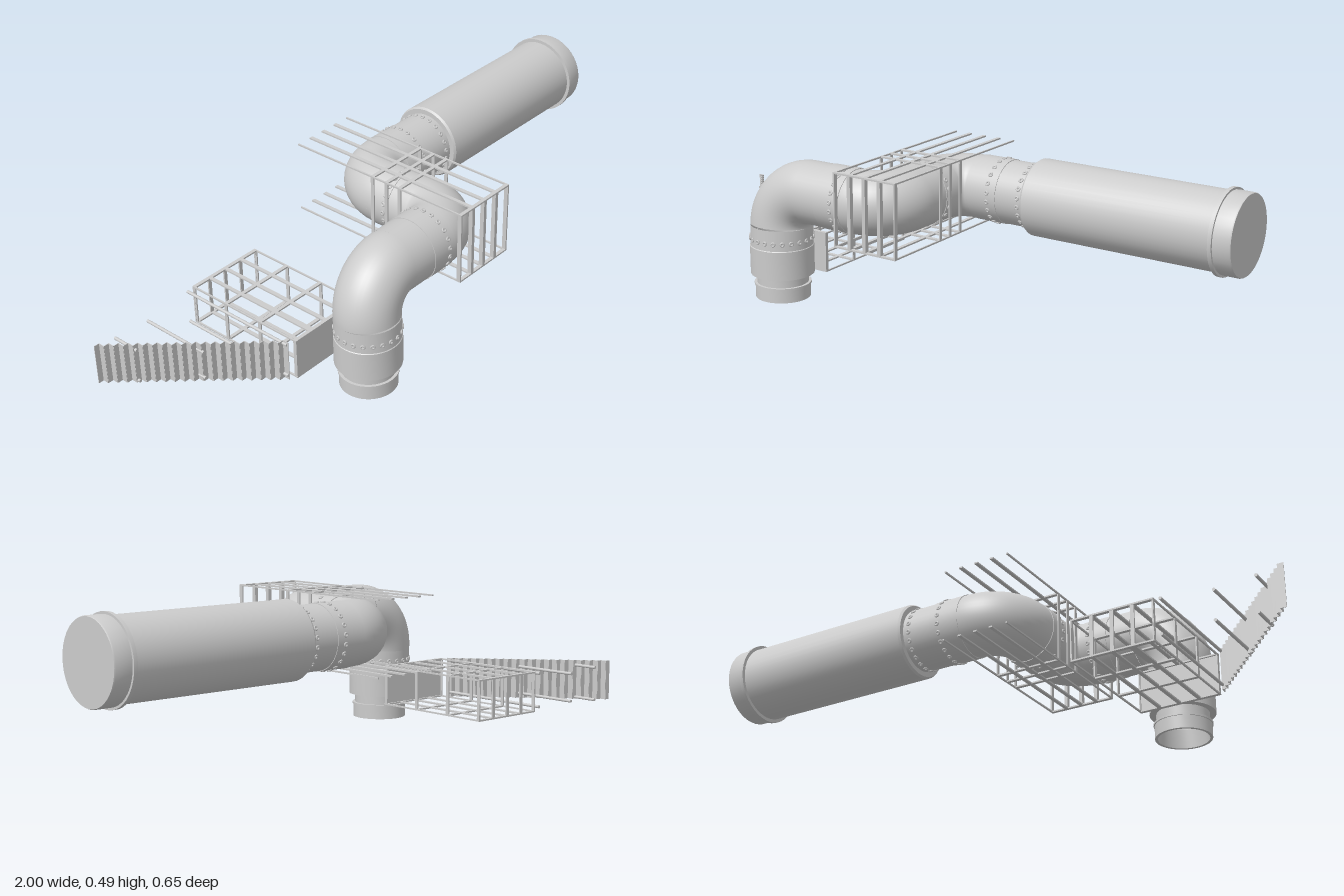
import * as THREE from 'three';
import { toCreasedNormals } from 'three/addons/utils/BufferGeometryUtils.js';

const V = (x, y, z) => new THREE.Vector3(x, y, z);
const UP = V(0, 1, 0);

export function createModel() {
  const root = new THREE.Group();
  root.name = 'pipeline';
  const mat = new THREE.MeshStandardMaterial({ color: 0xcccccc, side: THREE.DoubleSide });

  const add = (parent, name, geo) => {
    const m = new THREE.Mesh(geo, mat);
    m.name = name;
    parent.add(m);
    return m;
  };
  const group = (name) => {
    const g = new THREE.Group();
    g.name = name;
    root.add(g);
    return g;
  };
  // box given by its two opposite corners
  const box = (parent, name, x0, x1, y0, y1, z0, z1) =>
    add(parent, name, new THREE.BoxGeometry(Math.abs(x1 - x0), Math.abs(y1 - y0), Math.abs(z1 - z0)))
      .position.set((x0 + x1) / 2, (y0 + y1) / 2, (z0 + z1) / 2);
  // straight pipe between two points
  const pipe = (parent, name, a, b, r, open = false) => {
    const m = add(parent, name, new THREE.CylinderGeometry(r, r, a.distanceTo(b), 40, 1, open));
    m.position.copy(a).lerp(b, 0.5);
    m.quaternion.setFromUnitVectors(UP, b.clone().sub(a).normalize());
  };
  // quarter bend from a to b around a corner point
  const bend = (parent, name, a, corner, b, r) => {
    const k = 0.5523;
    const curve = new THREE.CubicBezierCurve3(a, a.clone().lerp(corner, k), b.clone().lerp(corner, k), b);
    add(parent, name, new THREE.TubeGeometry(curve, 24, r, 40));
  };
  // turned part from [radius, height] pairs
  const turned = (parent, name, pts) =>
    add(parent, name, toCreasedNormals(
      new THREE.LatheGeometry(pts.map(([r, h]) => new THREE.Vector2(r, h)), 40), 0.5));
  // ring of small bolts around a pipe axis
  const bolts = (center, axis, r) => {
    const g = group('boltRing');
    for (let i = 0; i < 22; i++) {
      const a = (i / 22) * Math.PI * 2;
      const nut = add(g, 'bolt', new THREE.TorusGeometry(0.0055, 0.003, 6, 10));
      nut.position.set(Math.cos(a) * r, 0, Math.sin(a) * r);
      nut.rotation.y = Math.PI / 2 - a;
    }
    g.position.copy(center);
    g.quaternion.setFromUnitVectors(UP, axis);
  };

  // Pipe run
  const run = group('pipeRun');
  const Y = 0.36, R = 0.101;
  const foot = turned(run, 'footSocket', [
    [0.075, 0.06], [0.08, 0], [0.089, 0], [0.089, 0.042], [0.092, 0.042], [0.092, 0.049],
    [0.083, 0.049], [0.083, 0.08], [0.103, 0.08], [0.103, 0.174], [0.1, 0.177],
  ]);
  foot.position.set(-0.428, 0, 0.222);
  pipe(run, 'riser', V(-0.428, 0.17, 0.222), V(-0.428, 0.24, 0.22), R, true);
  bend(run, 'lowerElbow', V(-0.428, 0.24, 0.22), V(-0.428, Y, 0.21), V(-0.31, Y, 0.208), R);
  pipe(run, 'frontPipe', V(-0.31, Y, 0.208), V(-0.13, Y, 0.208), R, true);
  pipe(run, 'frontSleeve', V(-0.225, Y, 0.208), V(-0.13, Y, 0.208), 0.103);
  bend(run, 'frontElbow', V(-0.13, Y, 0.208), V(-0.02, Y, 0.208), V(-0.02, Y, 0.098), R);
  pipe(run, 'crossPipe', V(-0.02, Y, 0.098), V(-0.02, Y, -0.05), R, true);
  pipe(run, 'crossSleeve', V(-0.02, Y, 0.03), V(-0.02, Y, -0.04), 0.103);
  bend(run, 'rearElbow', V(-0.02, Y, -0.05), V(-0.02, Y, -0.158), V(0.09, Y, -0.158), R);
  pipe(run, 'rearPipe', V(0.09, Y, -0.158), V(0.31, Y, -0.158), R, true);
  pipe(run, 'rearSleeve', V(0.097, Y, -0.158), V(0.2, Y, -0.158), 0.103);

  // Wide outlet barrel with end flange, turned along x
  const barrel = turned(run, 'outletBarrel', [
    [0.1, 0.3], [0.117, 0.3], [0.122, 0.307], [0.122, 0.932], [0.133, 0.932], [0.133, 0.944],
    [0.126, 0.944], [0.126, 0.996], [0.124, 1], [0, 1],
  ]);
  barrel.rotation.z = -Math.PI / 2;
  barrel.position.set(0, Y, -0.158);

  bolts(V(-0.428, 0.2, 0.222), UP, 0.102);
  bolts(V(-0.16, Y, 0.208), V(1, 0, 0), 0.104);
  bolts(V(-0.02, Y, 0.017), V(0, 0, 1), 0.104);
  bolts(V(0.17, Y, -0.158), V(1, 0, 0), 0.104);
  bolts(V(0.28, Y, -0.158), V(1, 0, 0), 0.102);

  // Cage folded around the bends: strips run over the top, down the front and under
  const cage = group('pipeCage');
  const [cx0, cx1, cy0, cy1] = [-0.127, 0.098, 0.242, 0.479];
  const strips = [[-0.127, 0.005], [-0.071, 0.012], [-0.015, 0.012], [0.041, 0.012], [0.098, 0.005]];
  for (const [x, w] of strips) {
    box(cage, 'topStrip', x - w / 2, x + w / 2, cy1 - 0.005, cy1, -0.325, 0.325);
    box(cage, 'bottomStrip', x - w / 2, x + w / 2, cy0, cy0 + 0.005, -0.325, 0.325);
    box(cage, 'frontStrip', x - w / 2, x + w / 2, cy0, cy1, 0.313, 0.327);
  }
  for (const y of [cy0, cy1 - 0.005]) box(cage, 'frontRail', cx0, cx1, y, y + 0.005, 0.315, 0.327);
  for (const z of [0.088, 0.037, -0.018]) {
    for (const x of [cx0, cx1]) box(cage, 'hoopSide', x - 0.002, x + 0.002, cy0, cy1, z - 0.006, z + 0.006);
    for (const y of [cy0, cy1 - 0.005]) box(cage, 'hoopBar', cx0, cx1, y, y + 0.005, z - 0.006, z + 0.006);
  }

  // Low basket with a solid end plate beside the riser
  const basket = group('basket');
  const [bx0, bx1, by0, by1] = [-0.608, -0.345, 0.06, 0.194];
  box(basket, 'endPlate', bx0, bx1, by0, by1, 0.1, 0.106);
  for (const z of [-0.32, -0.184, -0.043, 0.1]) {
    for (const x of [bx0, bx1]) box(basket, 'hoopSide', x - 0.002, x + 0.002, by0, by1, z - 0.006, z + 0.006);
    for (const y of [by0, by1 - 0.005]) box(basket, 'hoopBar', bx0, bx1, y, y + 0.005, z - 0.006, z + 0.006);
  }
  for (const [x, w] of [[bx0, 0.005], [-0.543, 0.012], [-0.477, 0.012], [-0.411, 0.012], [bx1, 0.005]]) {
    for (const y of [by0, by1 - 0.005]) box(basket, 'rail', x - w / 2, x + w / 2, y, y + 0.005, -0.325, 0.106);
    box(basket, 'backStrip', x - w / 2, x + w / 2, by0, by1, -0.325, -0.32);
  }

  // Stepped diagonal wall
  const wall = group('steppedWall');
  const n = 20, dx = 0.37 / n, dz = 0.415 / n;
  for (let i = 0; i < n; i++) {
    const x = -1 + i * dx, z = -0.322 + i * dz;
    box(wall, 'slat', x, x + dx, by0, by1, z - 0.001, z + 0.001);
    box(wall, 'slatReturn', x + dx - 0.001, x + dx + 0.001, by0, by1, z, z + dz);
  }

  // Rods bracing the wall from behind
  for (const [x, zEnd, yTop, yLow] of [[-0.632, 0.09, 0.186, 0.075], [-0.795, -0.085, 0.168, 0.075], [-0.92, -0.23, 0.177, 0.066]])
    for (const y of [yTop, yLow]) pipe(wall, 'braceRod', V(x, y, -0.325), V(x, y, zEnd), 0.005);

  return root;
}
